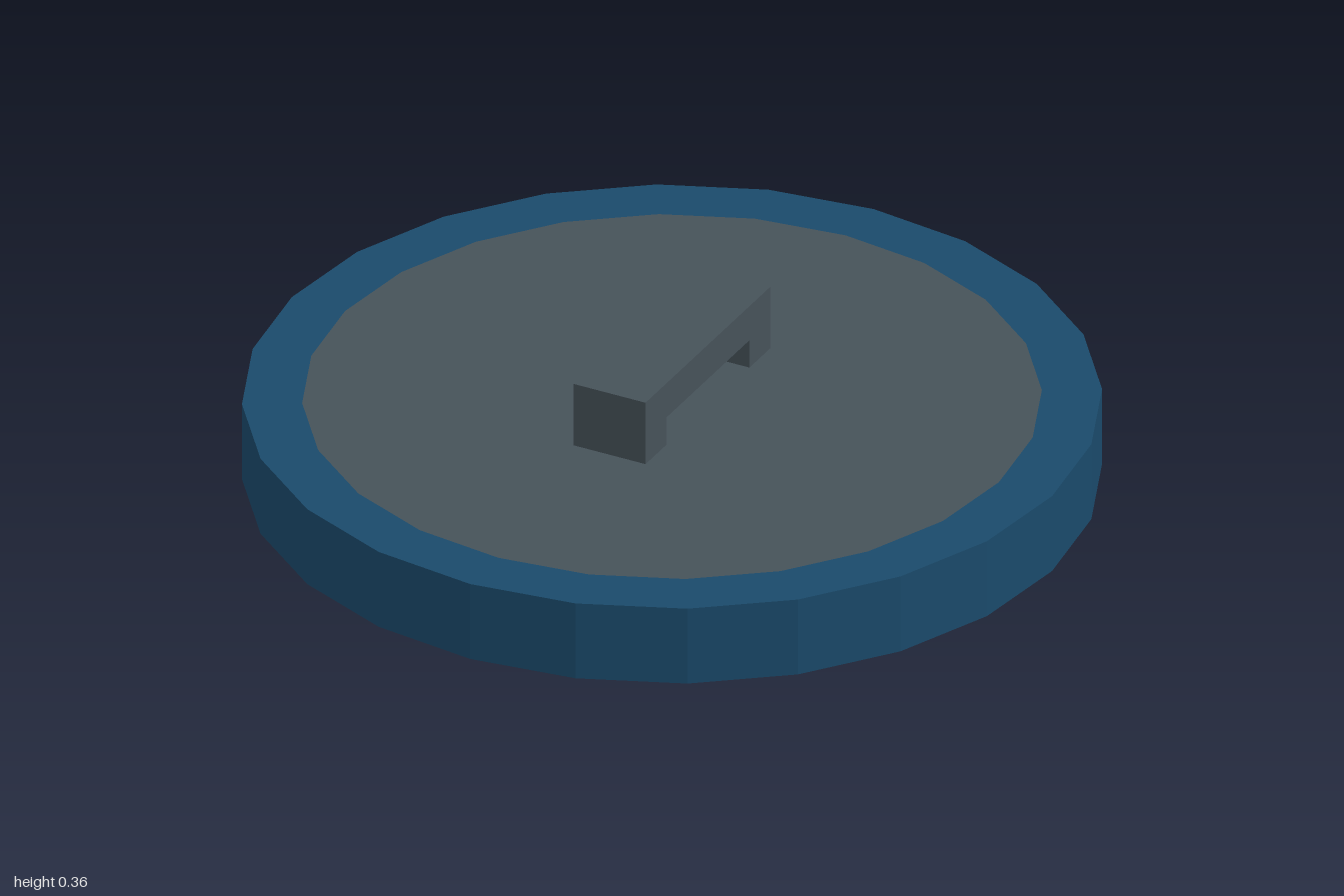
import * as THREE from 'three';

const SIDES = 24, RADIUS = 1, INNER = 0.86, HEIGHT = 0.2;

export function createModel() {
  const group = new THREE.Group();
  const blue = new THREE.MeshStandardMaterial({ color: 0x1a4a6b, flatShading: true });
  const grey = new THREE.MeshStandardMaterial({ color: 0x465259, flatShading: true });

  const add = (name, geometry, material) => {
    const mesh = new THREE.Mesh(geometry, material);
    mesh.name = name;
    group.add(mesh);
    return mesh;
  };

  // Rim: faceted outer wall and the flat ring on top
  const profile = [[RADIUS, 0], [RADIUS, HEIGHT], [INNER, HEIGHT]].map(([r, y]) => new THREE.Vector2(r, y));
  add('rim', new THREE.LatheGeometry(profile, SIDES), blue);

  // Top plate, flush with the ring
  const top = add('topPlate', new THREE.CircleGeometry(INNER, SIDES), grey);
  top.rotation.x = -Math.PI / 2;
  top.position.y = HEIGHT;

  // Underside
  const bottom = add('bottomPlate', new THREE.CircleGeometry(RADIUS, SIDES), grey);
  bottom.rotation.x = Math.PI / 2;

  // Handle: a squared bridge running front to back
  const bridge = new THREE.Shape([
    [-0.31, 0], [-0.205, 0], [-0.205, 0.073], [0.205, 0.073],
    [0.205, 0], [0.31, 0], [0.31, 0.164], [-0.31, 0.164],
  ].map(([z, y]) => new THREE.Vector2(z, y)));
  const width = 0.19;
  const handle = new THREE.ExtrudeGeometry(bridge, { depth: width, bevelEnabled: false });
  handle.translate(0, HEIGHT, -width / 2).rotateY(-Math.PI / 2);
  add('handle', handle, grey);

  return group;
}
